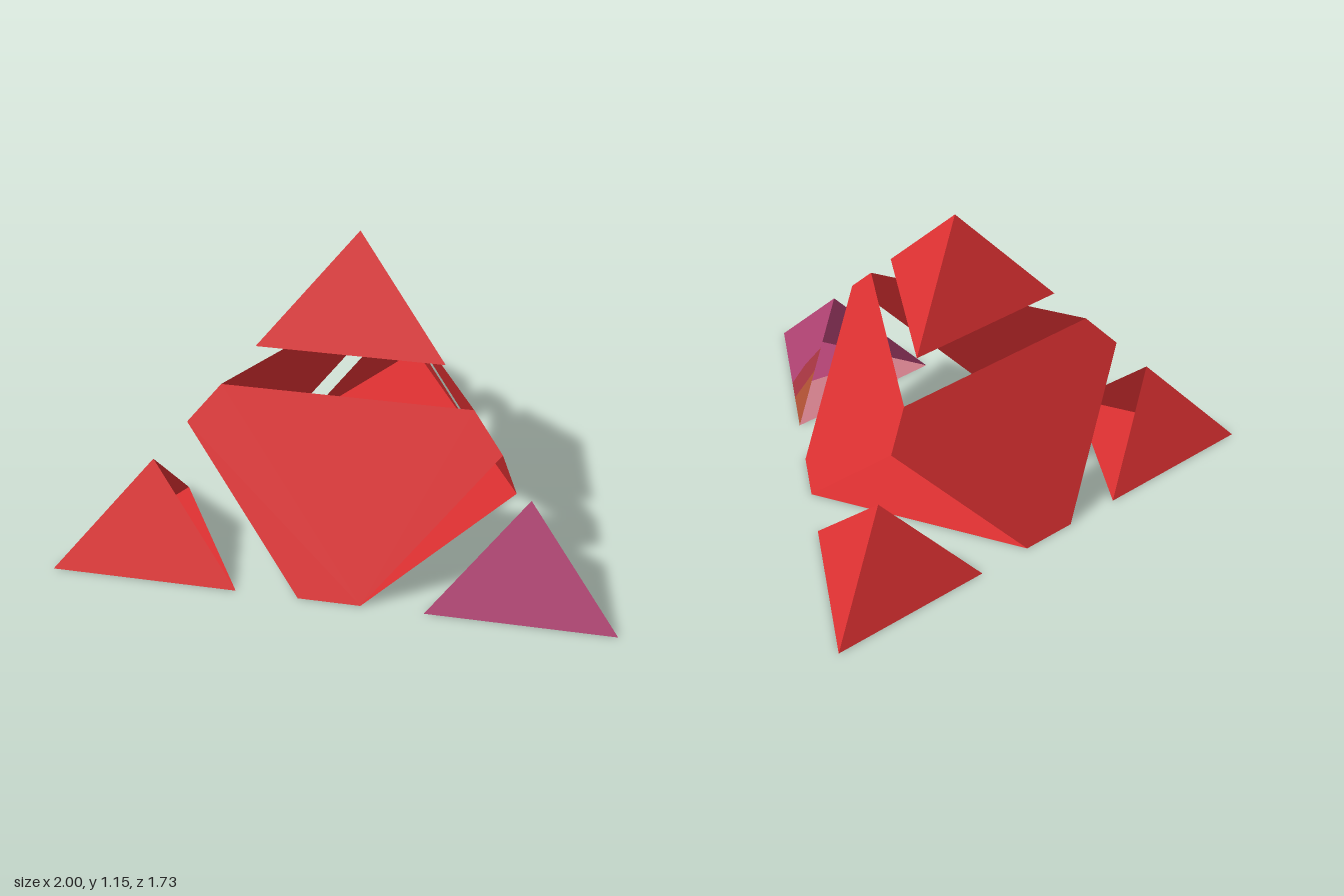
import * as THREE from 'three';

const paint = (name, hex) => {
  const m = new THREE.MeshStandardMaterial({ color: hex, side: THREE.DoubleSide });
  m.name = name;
  return m;
};

// Corners of the large tetrahedron that all the shells lie on
const H = 2 / Math.sqrt(3), S = Math.sqrt(3) / 2;
const corners = {
  left: new THREE.Vector3(1, 0, S),
  right: new THREE.Vector3(-1, 0, S),
  back: new THREE.Vector3(0, 0, -S),
  top: new THREE.Vector3(0, H, H / 4),
};
const names = Object.keys(corners);
const middle = new THREE.Vector3(0, H / 4, H / 4);

// Weighted blend of three points
const blend = (a, b, c, wa, wb, wc) => new THREE.Vector3()
  .addScaledVector(a, wa).addScaledVector(b, wb).addScaledVector(c, wc);

// Flat sheet fanned from its first point, facing away from the middle
function sheet(name, points, material) {
  const n = points[1].clone().sub(points[0]).cross(points[2].clone().sub(points[0]));
  const flip = n.dot(points[0].clone().sub(middle)) < 0;
  const tris = [];
  for (let i = 1; i < points.length - 1; i++) {
    const pair = flip ? [points[i + 1], points[i]] : [points[i], points[i + 1]];
    tris.push(points[0], ...pair);
  }
  const geometry = new THREE.BufferGeometry().setFromPoints(tris);
  geometry.computeVertexNormals();
  const mesh = new THREE.Mesh(geometry, material);
  mesh.name = name;
  return mesh;
}

export function createModel() {
  const red = paint('red', 0xdf3132);
  const purple = paint('purple', 0xb04272);
  const crimson = paint('crimson', 0xa53540);
  const rust = paint('rust', 0xae5034);
  const pink = paint('dusty pink', 0xcc7c88);
  const model = new THREE.Group();
  model.name = 'explodedTetrahedron';

  // Four hexagonal panels, cut at 4/9 and 5/9 of every edge
  const core = new THREE.Group();
  core.name = 'corePanels';
  for (const skipped of names) {
    const tri = names.filter((n) => n !== skipped).map((n) => corners[n]);
    const points = [];
    tri.forEach((p, i) => {
      const q = tri[(i + 1) % 3];
      points.push(p.clone().lerp(q, 4 / 9), p.clone().lerp(q, 5 / 9));
    });
    core.add(sheet('panelOpposite_' + skipped, points, red));
  }
  model.add(core);

  // Corner caps: three triangles each, open towards the middle
  for (const name of names) {
    const cap = new THREE.Group();
    cap.name = name + 'Cap';
    const tip = corners[name];
    const ends = {};
    names.filter((n) => n !== name).forEach((n) => {
      ends[n] = tip.clone().lerp(corners[n], 1 / 3);
    });
    if (name !== 'left') {
      const e = Object.values(ends);
      e.forEach((p, i) => cap.add(sheet('capFace', [tip, p, e[(i + 1) % 3]], red)));
    } else {
      const { right: M, back: N, top: T } = ends;
      cap.add(sheet('capFront', [tip, M, T], purple));

      // Outer side: purple, crimson band and rust end
      const side = (b, n, t) => blend(tip, N, T, b, n, t);
      const p1 = side(0.444, 0.556, 0), pm = side(0.258, 0.456, 0.286), p2 = side(0, 0.39, 0.61);
      const q1 = side(0.288, 0.712, 0), q2 = side(0, 0.569, 0.431);
      cap.add(sheet('capSide', [tip, p1, pm, p2, T], purple));
      cap.add(sheet('capSideBand', [pm, p1, q1, q2, p2], crimson));
      cap.add(sheet('capSideEnd', [q1, N, q2], rust));

      // Floor: purple near the tip, pink towards the middle
      const floor = (b, n, m) => blend(tip, N, M, b, n, m);
      const f1 = floor(0.4, 0.6, 0), fm = floor(0.34, 0.32, 0.34), f2 = floor(0.47, 0, 0.53);
      cap.add(sheet('capFloorTip', [tip, f1, fm, f2], purple));
      cap.add(sheet('capFloorInner', [fm, f1, N, M, f2], pink));
    }
    model.add(cap);
  }
  return model;
}
